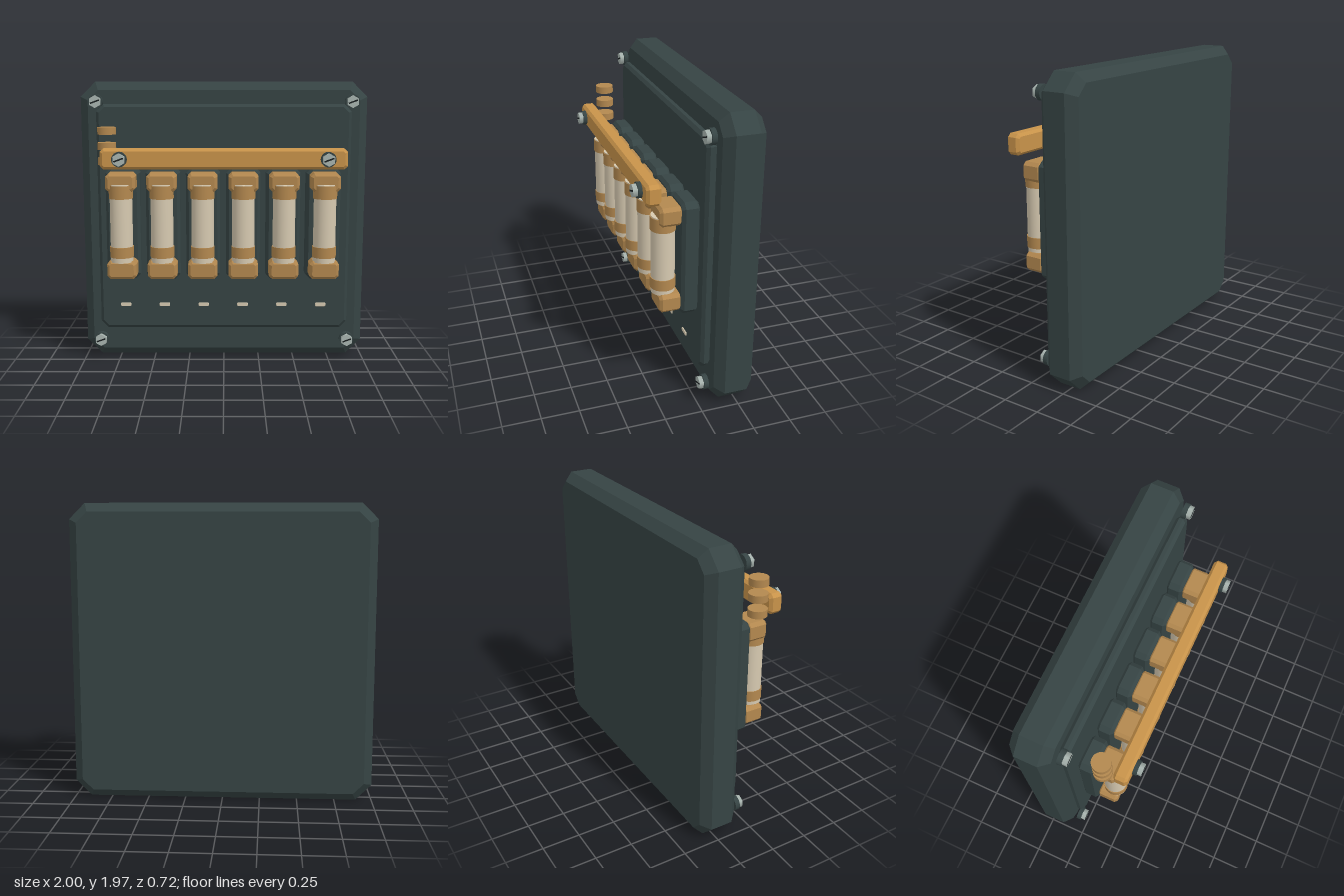
import * as THREE from 'three';

const mat = (name, color) => {
  const m = new THREE.MeshStandardMaterial({ color });
  m.name = name;
  return m;
};

export function createModel() {
  const slate = mat('dark slate', 0x364444);
  const brass = mat('brass', 0xb3884f);
  const copper = mat('bright copper', 0xc8934a);
  const ceramic = mat('cream ceramic', 0xd6c9b0);
  const steel = mat('pale steel', 0xa9b5b0);
  const black = mat('slot black', 0x1b2122);

  const model = new THREE.Group();
  model.name = 'fusePanel';

  const add = (parent, name, geometry, material, x = 0, y = 0, z = 0) => {
    const mesh = new THREE.Mesh(geometry, material);
    mesh.name = name;
    mesh.position.set(x, y, z);
    parent.add(mesh);
    return mesh;
  };

  // Slab with clipped corners and bevelled front and back edges, centred
  const slab = (w, h, d, corner, bevel) => {
    const a = w / 2, b = h / 2, c = corner;
    const outline = [[-a + c, -b], [a - c, -b], [a, -b + c], [a, b - c],
      [a - c, b], [-a + c, b], [-a, b - c], [-a, -b + c]];
    const shape = new THREE.Shape(outline.map(([x, y]) => new THREE.Vector2(x, y)));
    const g = new THREE.ExtrudeGeometry(shape, {
      depth: d - 2 * bevel, bevelEnabled: true, bevelSegments: 1,
      bevelThickness: bevel, bevelSize: bevel, bevelOffset: -bevel,
    });
    return g.translate(0, 0, -d / 2 + bevel);
  };

  // Backboard and raised panel
  add(model, 'backboard', slab(2, 1.97, 0.265, 0.105, 0.057), slate, 0, 0.985, -0.2275);
  add(model, 'raisedPanel', slab(1.76, 1.59, 0.065, 0.05, 0.02), slate, 0, 1.022, -0.063);

  // Slotted hex bolt with washer, facing +z from its back face
  const washerGeo = new THREE.CylinderGeometry(0.05, 0.05, 0.032, 20).rotateX(Math.PI / 2);
  const headGeo = new THREE.CylinderGeometry(0.043, 0.043, 0.03, 6).rotateX(Math.PI / 2);
  const slotGeo = new THREE.BoxGeometry(0.066, 0.01, 0.006);
  const bolt = (name, x, y, z) => {
    const g = new THREE.Group();
    g.name = name;
    g.position.set(x, y, z);
    add(g, 'washer', washerGeo, slate, 0, 0, 0.016);
    add(g, 'hexHead', headGeo, steel, 0, 0, 0.045);
    add(g, 'slot', slotGeo, black, 0, 0, 0.059).rotation.z = 0.35;
    model.add(g);
  };
  for (const x of [-0.882, 0.882]) {
    for (const y of [0.14, 1.835]) bolt('cornerBolt', x, y, -0.07);
  }

  // Fuse holders
  const baseGeo = slab(0.235, 0.775, 0.115, 0.035, 0.02);
  const clipGeo = slab(0.2, 0.125, 0.145, 0.022, 0.018);
  const tubeGeo = new THREE.CylinderGeometry(0.076, 0.076, 0.53, 24);
  const topCapGeo = new THREE.CylinderGeometry(0.081, 0.081, 0.088, 24);
  const lowCapGeo = new THREE.CylinderGeometry(0.081, 0.081, 0.073, 24);
  const tagGeo = slab(0.075, 0.027, 0.009, 0.006, 0.003);
  for (let i = 0; i < 6; i++) {
    const fuse = new THREE.Group();
    fuse.name = 'fuseHolder' + (i + 1);
    fuse.position.x = -0.693 + 0.275 * i;
    add(fuse, 'base', baseGeo, slate, 0, 1.003, 0.022);
    add(fuse, 'upperClip', clipGeo, brass, 0, 1.305, 0.142);
    add(fuse, 'lowerClip', clipGeo, brass, 0, 0.707, 0.142);
    add(fuse, 'fuseTube', tubeGeo, ceramic, 0, 1.026, 0.167);
    add(fuse, 'upperCap', topCapGeo, brass, 0, 1.241, 0.167);
    add(fuse, 'lowerCap', lowCapGeo, brass, 0, 0.832, 0.167);
    add(fuse, 'tag', tagGeo, ceramic, 0, 0.415, 0.016);
    model.add(fuse);
  }

  // Bus bar across the fuse tops
  add(model, 'busBar', slab(1.62, 0.137, 0.095, 0.022, 0.018), copper, 0, 1.472, 0.26);
  for (const x of [-0.68, 0.68]) bolt('busBolt', x, 1.472, 0.302);

  // Stacked terminal discs beside the bus bar
  const discGeo = new THREE.CylinderGeometry(0.062, 0.062, 0.048, 24);
  for (let i = 0; i < 3; i++) {
    add(model, 'terminalDisc', discGeo, brass, -0.783, 1.443 + 0.102 * i, 0.135);
  }

  return model;
}
